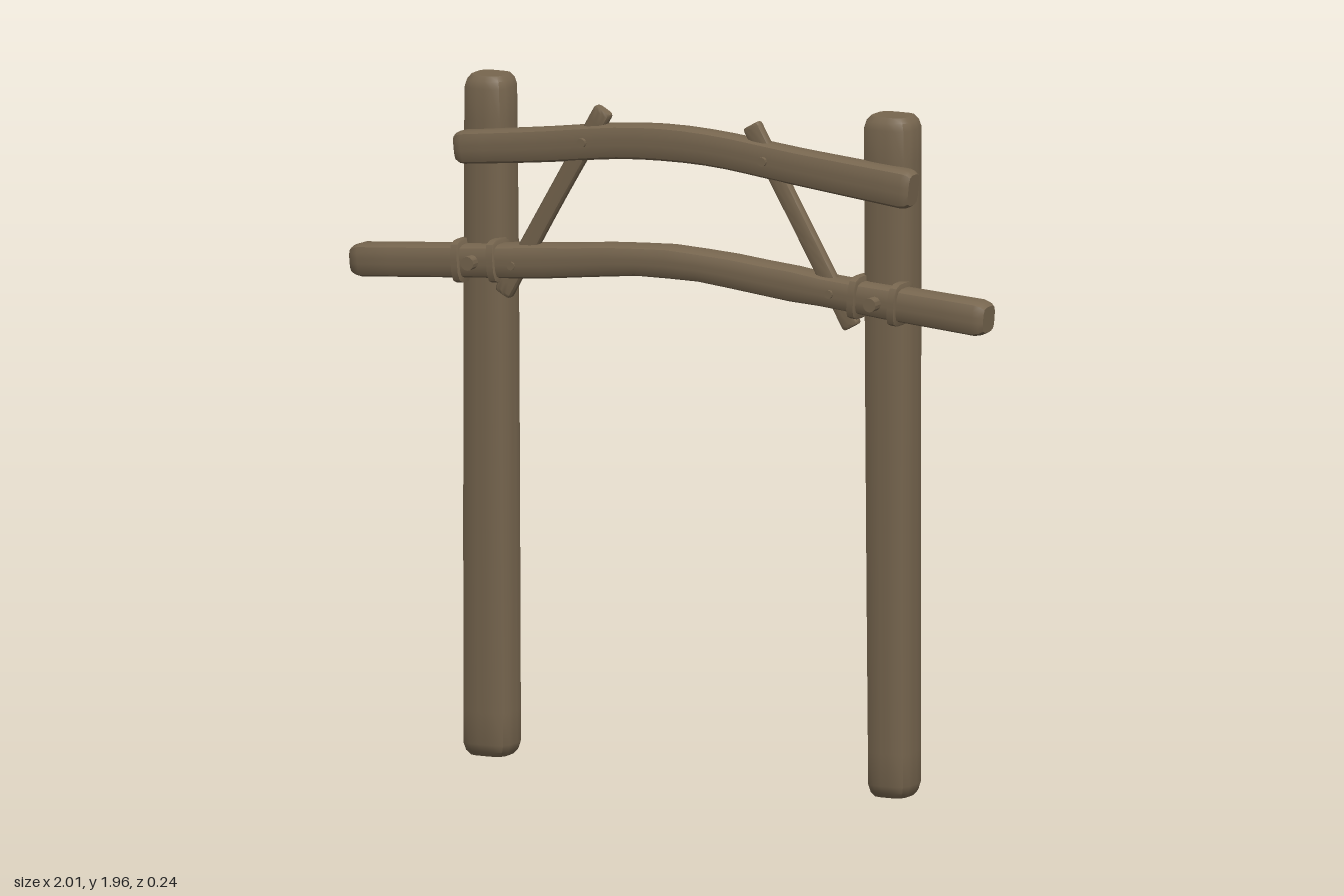
import * as THREE from 'three';
import { toCreasedNormals } from 'three/addons/utils/BufferGeometryUtils.js';

const wood = new THREE.MeshStandardMaterial({ color: 0x77664f });
wood.name = 'weathered wood';

function add(parent, geometry, name) {
  const mesh = new THREE.Mesh(geometry, wood);
  mesh.name = name;
  parent.add(mesh);
  return mesh;
}

// Rounded-square timber lofted along a path in the xy plane, with chamfered ends.
// path: [x, y, height, depth] rows; z: centre depth; bevel: chamfer length
function timber(path, z, bevel, inset = 0.74, sides = 20) {
  const curve = new THREE.CatmullRomCurve3(path.map(p => new THREE.Vector3(p[0], p[1], z)));
  const sizes = new THREE.CatmullRomCurve3(path.map(p => new THREE.Vector3(p[2], p[3], 0)));
  const e = bevel / curve.getLength();
  const stops = [[0, inset], [e * 0.4, (1 + inset) / 2 + 0.04], [e, 1]];
  for (let i = 1; i < 20; i++) stops.push([e + (1 - 2 * e) * i / 20, 1]);
  stops.push([1 - e, 1], [1 - e * 0.4, (1 + inset) / 2 + 0.04], [1, inset]);

  const pos = [], index = [];
  for (const [u, k] of stops) {
    const t = curve.getUtoTmapping(u), p = curve.getPoint(t), d = curve.getTangent(t), s = sizes.getPoint(t);
    for (let j = 0; j < sides; j++) {
      const a = (j + 0.5) / sides * Math.PI * 2, c = Math.cos(a), q = Math.sin(a);
      const r = k * 0.5 / Math.pow(c ** 4 + q ** 4, 0.25);
      const n = c * r * s.x;
      pos.push(p.x - d.y * n, p.y + d.x * n, p.z + q * r * s.y);
    }
  }
  for (let i = 0; i < stops.length - 1; i++) {
    for (let j = 0; j < sides; j++) {
      const k = (j + 1) % sides, a = i * sides + j, b = i * sides + k;
      index.push(a, b, a + sides, b, b + sides, a + sides);
    }
  }
  // End caps
  const last = (stops.length - 1) * sides, first = pos.length / 3;
  const start = curve.getPoint(0), end = curve.getPoint(1);
  pos.push(start.x, start.y, start.z, end.x, end.y, end.z);
  for (let j = 0; j < sides; j++) {
    const k = (j + 1) % sides;
    index.push(first, k, j, first + 1, last + j, last + k);
  }
  const g = new THREE.BufferGeometry();
  g.setAttribute('position', new THREE.Float32BufferAttribute(pos, 3));
  g.setIndex(index);
  return toCreasedNormals(g, 0.6);
}

// Round peg running front to back
function peg(parent, x, y, radius, back, front, name) {
  const g = toCreasedNormals(new THREE.CylinderGeometry(radius, radius, front - back, 12), 0.7);
  const m = add(parent, g, name);
  m.rotation.x = Math.PI / 2;
  m.position.set(x, y, (front + back) / 2);
}

export function createModel() {
  const model = new THREE.Group();
  model.name = 'timberGateway';

  // Uprights
  add(model, timber([[-0.602, 0.015, 0.148, 0.132], [-0.604, 0.7, 0.144, 0.136],
    [-0.605, 1.4, 0.138, 0.136], [-0.607, 1.96, 0.13, 0.132]], -0.038, 0.035), 'rightPost');
  add(model, timber([[0.667, 0.005, 0.13, 0.132], [0.664, 0.7, 0.136, 0.136],
    [0.662, 1.4, 0.143, 0.136], [0.661, 1.95, 0.148, 0.132]], -0.038, 0.035), 'leftPost');

  // Bowed cross beams
  add(model, timber([[-0.67, 1.757, 0.094, 0.075], [-0.4, 1.787, 0.098, 0.075], [-0.15, 1.819, 0.1, 0.075],
    [0, 1.826, 0.102, 0.075], [0.15, 1.821, 0.1, 0.075], [0.4, 1.793, 0.102, 0.077],
    [0.765, 1.756, 0.112, 0.08]], 0.038, 0.025, 0.8), 'upperBeam');
  add(model, timber([[-1, 1.407, 0.094, 0.09], [-0.6, 1.438, 0.094, 0.098], [-0.35, 1.459, 0.094, 0.098],
    [-0.12, 1.482, 0.092, 0.1], [0, 1.486, 0.092, 0.1], [0.12, 1.482, 0.092, 0.1],
    [0.35, 1.459, 0.094, 0.098], [0.6, 1.436, 0.094, 0.098], [1, 1.406, 0.1, 0.096]],
    0.032, 0.03), 'lowerBeam');

  // Diagonal braces
  add(model, timber([[-0.525, 1.352, 0.055, 0.036], [-0.37, 1.625, 0.052, 0.036],
    [-0.208, 1.903, 0.056, 0.036]], 0.042, 0.01, 0.85), 'rightBrace');
  add(model, timber([[0.575, 1.35, 0.055, 0.036], [0.42, 1.62, 0.052, 0.036],
    [0.258, 1.9, 0.056, 0.036]], 0.042, 0.01, 0.85), 'leftBrace');

  // Bands around the lower beam, either side of each post
  for (const [x, y, slope] of [[-0.657, 1.434, 0.08], [-0.545, 1.443, 0.08], [0.593, 1.437, -0.08], [0.72, 1.427, -0.08]]) {
    const h = 0.012;
    add(model, timber([[x - h, y - h * slope, 0.122, 0.122], [x, y, 0.122, 0.122],
      [x + h, y + h * slope, 0.122, 0.122]], 0.032, 0.005, 0.92), 'beamBand');
  }

  // Main pegs through posts, small pegs through braces
  peg(model, -0.605, 1.44, 0.02, -0.123, 0.113, 'postPeg');
  peg(model, 0.664, 1.43, 0.02, -0.123, 0.113, 'postPeg');
  for (const [x, y] of [[-0.26, 1.81], [0.31, 1.805]]) peg(model, x, y, 0.013, -0.018, 0.087, 'upperBracePeg');
  for (const [x, y] of [[-0.48, 1.44], [0.522, 1.445]]) peg(model, x, y, 0.012, -0.022, 0.09, 'lowerBracePeg');

  return model;
}
